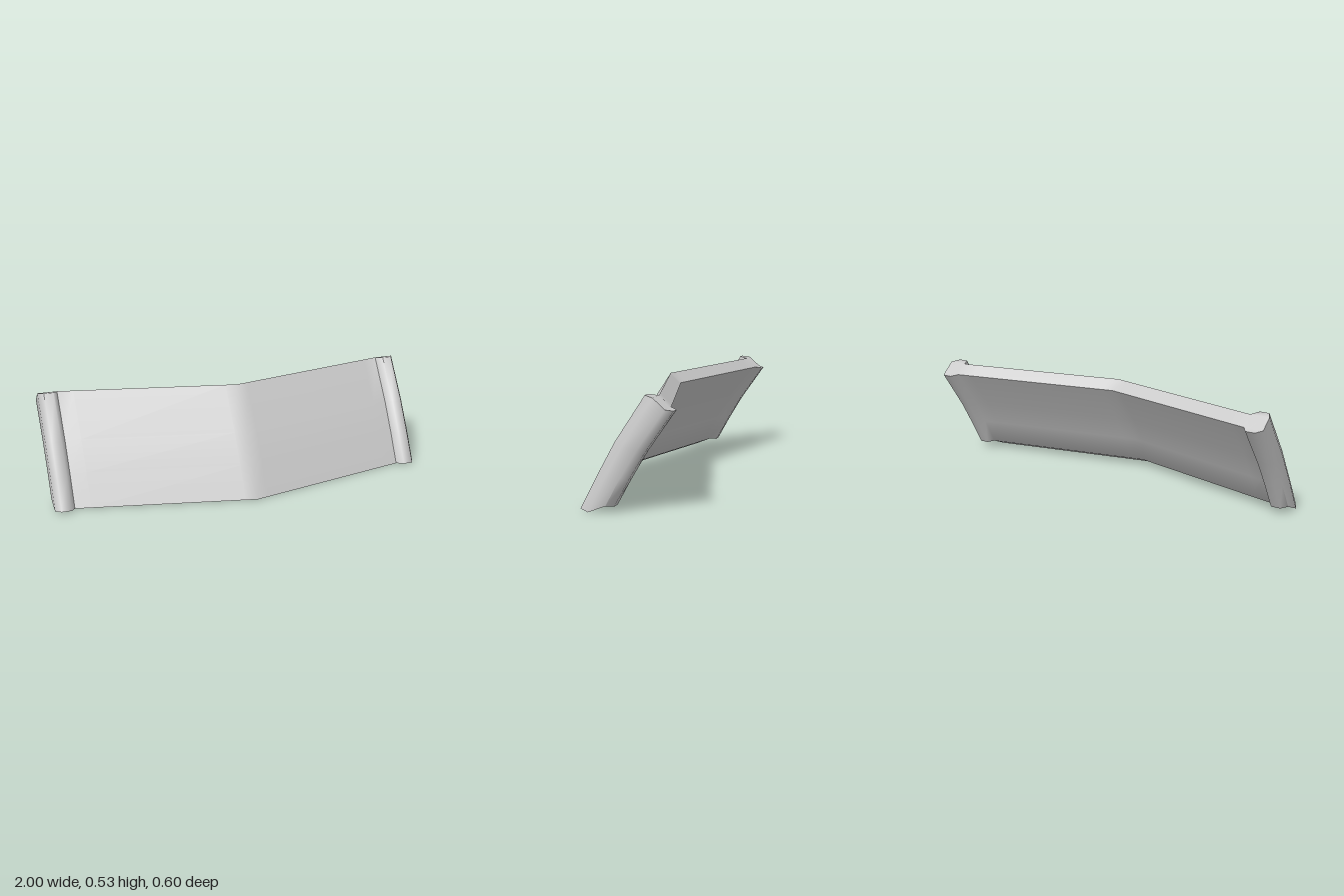
import * as THREE from 'three';
import { toCreasedNormals } from 'three/addons/utils/BufferGeometryUtils.js';

// Curved side profiles [z, y], bottom to top, one per depth layer at the blade's ends
const LAYERS = [
  [[0.137, 0.01], [0.057, 0.165], [-0.027, 0.32], [-0.167, 0.533]],   // rail front
  [[0.093, 0.0], [0.013, 0.16], [-0.07, 0.31], [-0.21, 0.525]],       // plate front
  [[0.01, 0.033], [-0.06, 0.165], [-0.135, 0.29], [-0.265, 0.475]],   // plate back
  [[-0.023, 0.028], [-0.09, 0.15], [-0.167, 0.28], [-0.298, 0.468]],  // rail back
];
const SWEEP = 0.207; // how far the middle stands ahead of the ends
const PLATE_END = 0.9;

// Columns across the width; rail columns use the outer layers
const half = [
  { x: 0.06 }, { x: 0.82 }, { x: PLATE_END },
  { x: 0.925, rail: true }, { x: 0.975, rail: true }, { x: 1 },
];
const columns = [
  ...half.map((c) => ({ ...c, x: -c.x })).reverse(),
  { x: 0 },
  ...half,
];

function point(col, layer, ring) {
  const l = col.rail ? layer : Math.min(2, Math.max(1, layer));
  const [z, y] = LAYERS[l][ring];
  const ahead = SWEEP * (1 - Math.min(Math.abs(col.x), PLATE_END) / PLATE_END);
  return new THREE.Vector3(col.x, y, z + ahead);
}

function bladeGeometry() {
  const positions = [];
  const tri = (a, b, c) => {
    if (a.equals(b) || b.equals(c) || a.equals(c)) return;
    for (const p of [a, b, c]) positions.push(p.x, p.y, p.z);
  };
  const quad = (a, b, c, d) => { tri(a, b, c); tri(a, c, d); };

  for (let i = 0; i < columns.length - 1; i++) {
    const p = columns[i], q = columns[i + 1];
    // Front and back faces
    for (let k = 0; k < 3; k++) {
      quad(point(p, 0, k), point(q, 0, k), point(q, 0, k + 1), point(p, 0, k + 1));
      quad(point(q, 3, k), point(p, 3, k), point(p, 3, k + 1), point(q, 3, k + 1));
    }
    // Top and bottom edges
    for (let l = 0; l < 3; l++) {
      quad(point(p, l, 3), point(q, l, 3), point(q, l + 1, 3), point(p, l + 1, 3));
      quad(point(p, l + 1, 0), point(q, l + 1, 0), point(q, l, 0), point(p, l, 0));
    }
  }
  // Outer sides of the rails
  const left = columns[columns.length - 1], right = columns[0];
  for (let k = 0; k < 3; k++) {
    quad(point(left, 1, k), point(left, 2, k), point(left, 2, k + 1), point(left, 1, k + 1));
    quad(point(right, 2, k), point(right, 1, k), point(right, 1, k + 1), point(right, 2, k + 1));
  }

  const geometry = new THREE.BufferGeometry();
  geometry.setAttribute('position', new THREE.Float32BufferAttribute(positions, 3));
  return toCreasedNormals(geometry, 1.2);
}

export function createModel() {
  const group = new THREE.Group();
  group.name = 'plowBlade';
  const blade = new THREE.Mesh(
    bladeGeometry(),
    new THREE.MeshStandardMaterial({ color: 0xcccccc }),
  );
  blade.name = 'bladeWithEndRails';
  group.add(blade);
  return group;
}
